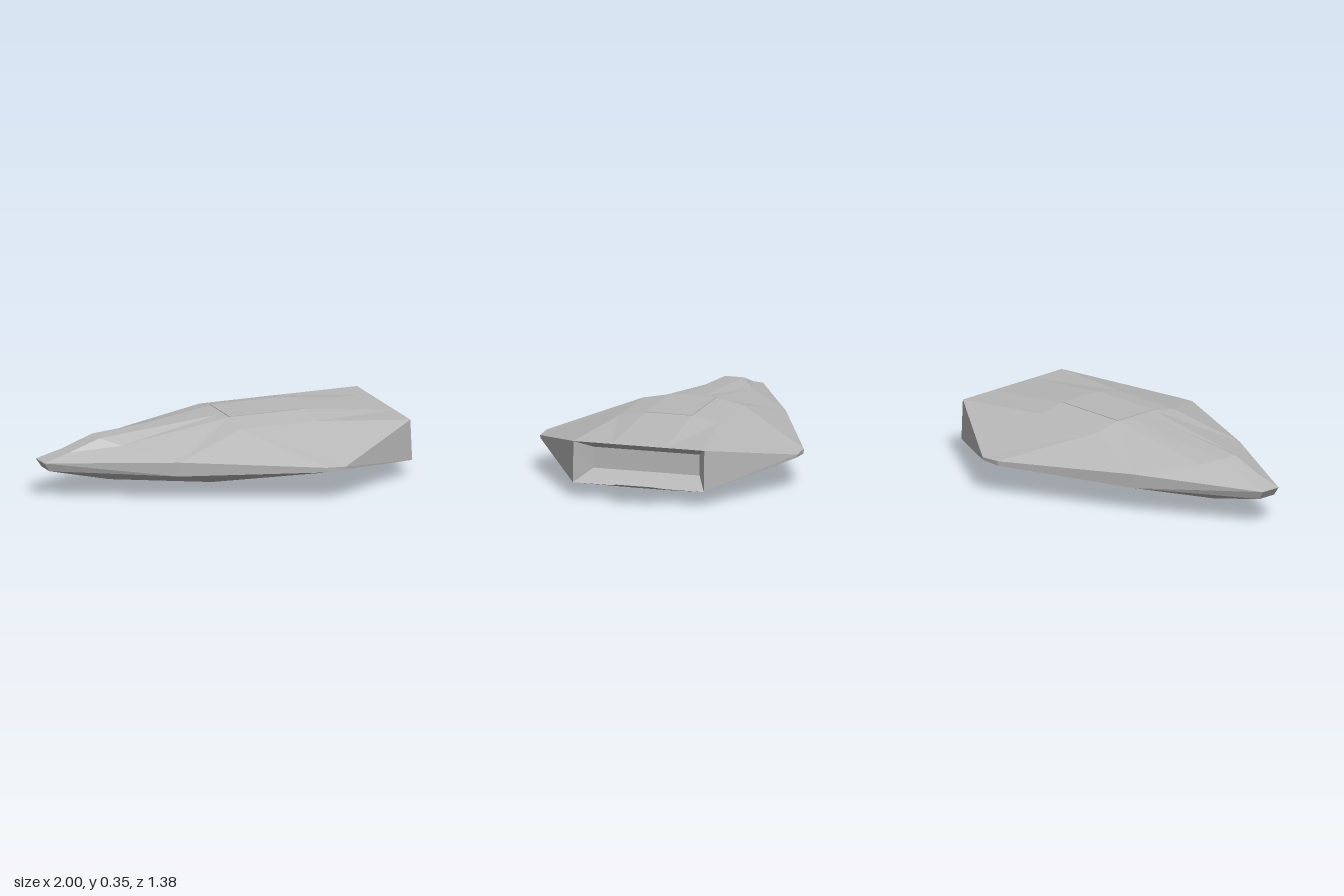
import * as THREE from 'three';

// Key points of the +z half; the other half is mirrored.
const P = {
  // upper hull: nose, canopy, roof and tail
  N: [-1, 0.19, 0.055], A: [-0.86, 0.23, 0.047], B: [-0.69, 0.29, 0.05], C: [-0.6, 0.26, 0.125],
  D: [-0.04, 0.345, 0.05], E: [0, 0.348, 0.125], F: [0, 0.32, 0.27],
  G: [0.41, 0.348, 0.125], H: [0.41, 0.32, 0.27],
  I: [0.91, 0.295, 0.1], J: [0.91, 0.295, 0.145], K: [0.91, 0.295, 0.352],
  // upper and lower lines of the side rim
  U: [-0.38, 0.21, 0.377], V: [0.3, 0.19, 0.692], W: [0.41, 0.185, 0.692],
  n: [-0.97, 0.145, 0.052], u: [-0.38, 0.135, 0.372], v: [0.3, 0.165, 0.69],
  w: [0.41, 0.17, 0.69], k: [0.92, 0.08, 0.352],
  // keel
  p: [-0.64, 0.07, 0.06], q: [-0.08, 0, 0.08], r: [0.7, 0.02, 0.07],
  // recess back
  S: [0.78, 0.24, 0.285], s: [0.78, 0.13, 0.285],
  // tail flap
  X: [0.92, 0.08, 0.14], Y: [1, 0.105, 0.097],
};

const point = (key, side) => new THREE.Vector3(P[key][0], P[key][1], P[key][2] * side);

// Builds mirrored side faces (strings of 3 or 4 keys) and strips that span both sides.
// Faces are turned by the rule `outward(normal, centre)`.
function shell(faces, strips, outward) {
  const out = [];
  const add = (a, b, c) => {
    const normal = b.clone().sub(a).cross(c.clone().sub(a));
    const centre = a.clone().add(b).add(c).divideScalar(3);
    const order = outward(normal, centre) ? [a, b, c] : [a, c, b];
    order.forEach((v) => out.push(v.x, v.y, v.z));
  };
  for (const face of faces) {
    for (const side of [1, -1]) {
      const v = [...face].map((key) => point(key, side));
      for (let i = 2; i < v.length; i++) add(v[0], v[i - 1], v[i]);
    }
  }
  for (const line of strips) {
    for (let i = 1; i < line.length; i++) {
      const a = point(line[i - 1], 1), b = point(line[i], 1);
      const c = point(line[i], -1), d = point(line[i - 1], -1);
      add(a, b, c);
      add(a, c, d);
    }
  }
  const geometry = new THREE.BufferGeometry();
  geometry.setAttribute('position', new THREE.Float32BufferAttribute(out, 3));
  geometry.computeVertexNormals();
  return geometry;
}

export function createModel() {
  const group = new THREE.Group();
  group.name = 'spacecraft';
  const hullGrey = new THREE.MeshStandardMaterial({
    color: 0xb8b8b8, flatShading: true, side: THREE.DoubleSide,
  });
  hullGrey.name = 'hullGrey';

  const part = (name, geometry) => {
    const mesh = new THREE.Mesh(geometry, hullGrey);
    mesh.name = name;
    group.add(mesh);
    return mesh;
  };
  const awayFromCore = (n, c) =>
    n.dot(new THREE.Vector3(c.x * 0.5, c.y - 0.18, c.z)) > 0;
  const towardRear = (n, c) => n.dot(new THREE.Vector3(1.2, 0.185, 0).sub(c)) > 0;
  const up = (n) => n.y > 0;

  // Faceted upper hull
  part('upperHull', shell(
    ['NCU', 'CEU', 'EFU', 'FVU', 'EGHF', 'FHWV', 'HKW', 'HJK', 'GIJH', 'CDE'],
    ['DEGI'], awayFromCore));
  // Raised canopy ridge running back from the nose
  part('canopy', shell(['NAC', 'ABC', 'BDC'], ['NABD'], awayFromCore));
  // Narrow rim around the sides, closed at the nose
  part('sideRim', shell(['NUun', 'UVvu', 'VWwv', 'WKkw'], ['Nn'], awayFromCore));
  // Shallow keel
  part('lowerHull', shell(
    ['npu', 'pqu', 'qvu', 'qwv', 'qrw', 'rkw'], ['npqrk'], awayFromCore));
  // Exhaust recess with sloping walls and a flat back
  part('exhaustRecess', shell(['KksS'], ['KSsk'], towardRear));
  // Thin flap below the exhaust
  part('tailFlap', shell([], ['XY'], up));
  // Roof hatch
  const hatch = part('roofHatch', new THREE.BoxGeometry(0.41, 0.006, 0.25));
  hatch.position.set(0.205, 0.348, 0);

  return group;
}
